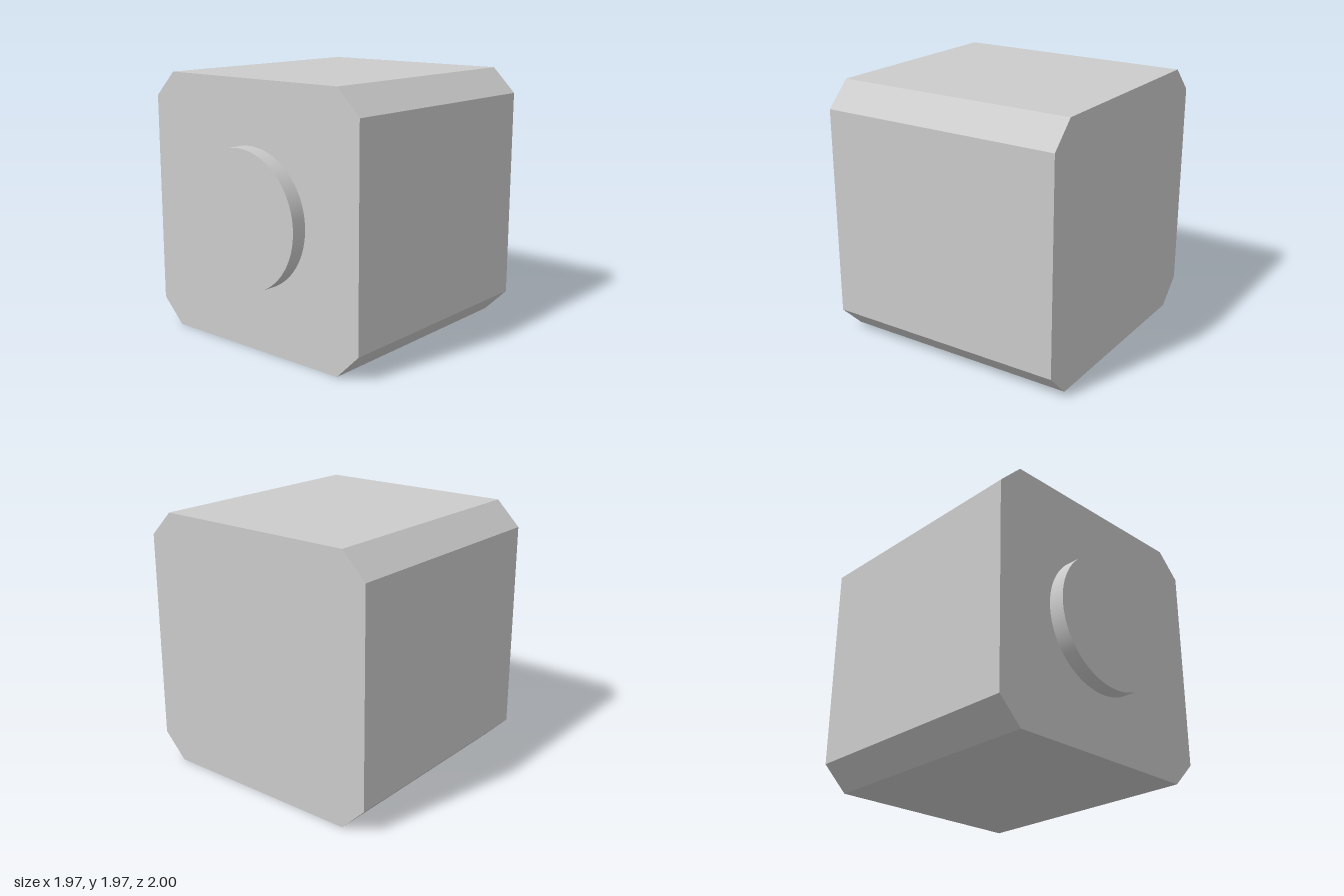
import * as THREE from 'three';

export function createModel() {
  const group = new THREE.Group();
  const material = new THREE.MeshStandardMaterial({ color: 0xcccccc });
  const half = 0.987, flat = 0.8; // half width, half length of a straight side
  const back = -1, face = 0.88, front = 1;

  // Chamfered square block, extruded from back to front
  const outline = new THREE.Shape([
    [half, -flat], [half, flat], [flat, half], [-flat, half],
    [-half, flat], [-half, -flat], [-flat, -half], [flat, -half],
  ].map(([x, y]) => new THREE.Vector2(x, y)));
  const body = new THREE.Mesh(
    new THREE.ExtrudeGeometry(outline, { depth: face - back, bevelEnabled: false }), material);
  body.name = 'body';
  body.position.set(0, half, back);
  group.add(body);

  // Round boss on the front face
  const boss = new THREE.Mesh(
    new THREE.CylinderGeometry(0.516, 0.516, front - face, 96), material);
  boss.name = 'frontBoss';
  boss.rotation.x = Math.PI / 2;
  boss.position.set(0, half, (front + face) / 2);
  group.add(boss);

  return group;
}
